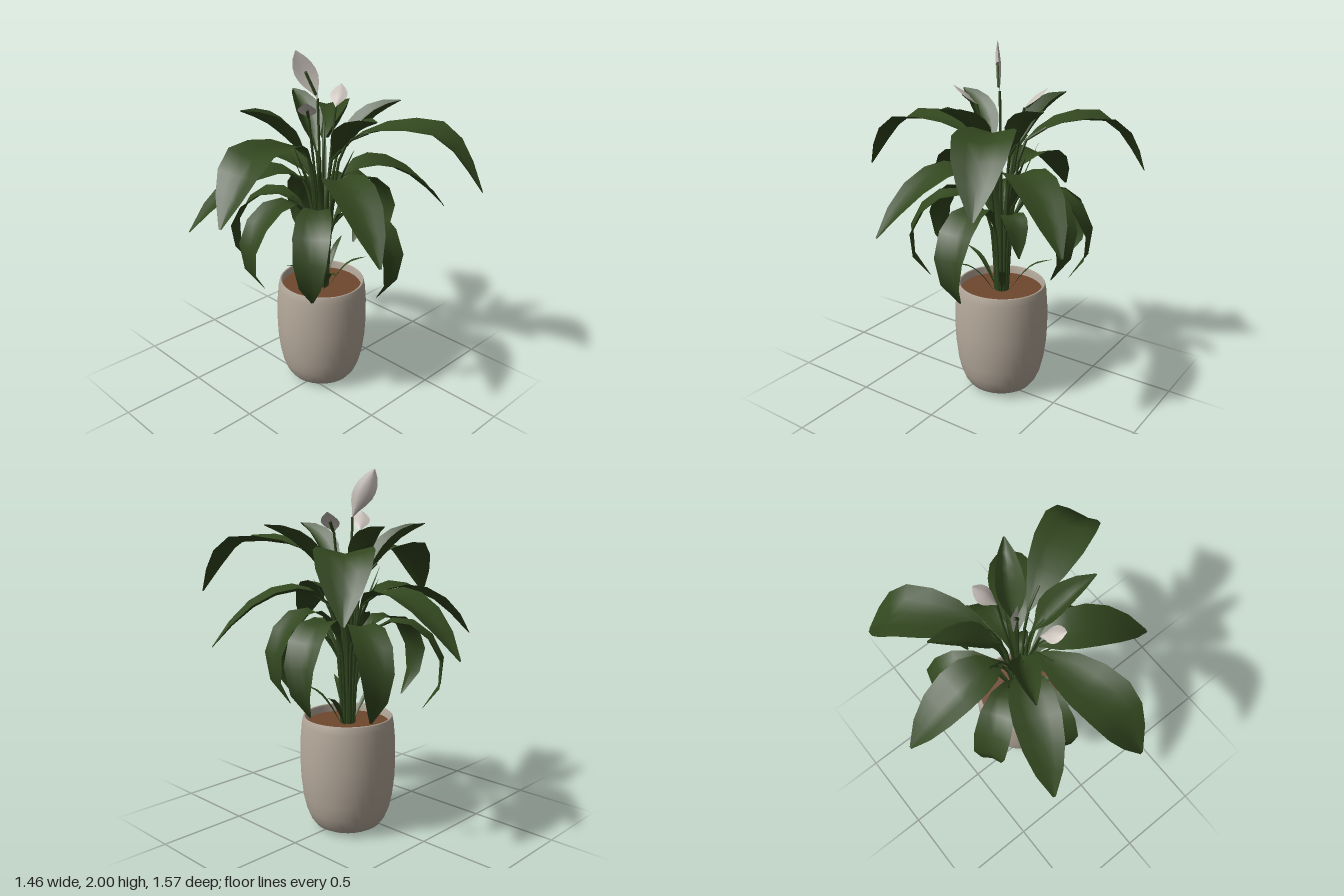
import * as THREE from 'three';

const mat = (name, color, side = THREE.FrontSide) => {
  const m = new THREE.MeshStandardMaterial({ color, side });
  m.name = name;
  return m;
};

const CX = 0.115, CZ = -0.03; // pot axis
const WIDTHS = [0.05, 0.34, 0.72, 0.95, 1, 0.88, 0.58, 0.06];

// Blade swept along a curve: five points per section, edges lifted by fold
function bladeGeometry(curve, side, halfWidth, fold) {
  const pos = [], idx = [], n = WIDTHS.length - 1;
  for (let i = 0; i <= n; i++) {
    const p = curve.getPoint(i / n), t = curve.getTangent(i / n);
    const up = new THREE.Vector3().crossVectors(side, t).normalize();
    const w = WIDTHS[i] * halfWidth;
    for (const s of [-1, -0.5, 0, 0.5, 1]) {
      const q = p.clone().addScaledVector(side, s * w).addScaledVector(up, Math.abs(s) * w * fold);
      pos.push(q.x, q.y, q.z);
    }
    if (i < n) for (let j = 0; j < 4; j++) {
      const a = i * 5 + j, b = a + 5;
      idx.push(a, b, a + 1, a + 1, b, b + 1);
    }
  }
  const g = new THREE.BufferGeometry();
  g.setAttribute('position', new THREE.Float32BufferAttribute(pos, 3));
  g.setIndex(idx);
  g.computeVertexNormals();
  return g;
}

export function createModel() {
  const model = new THREE.Group();
  model.name = 'pottedPlant';
  const leafMat = mat('leaf green', 0x32471f, THREE.DoubleSide);
  const stemMat = mat('stem green', 0x2f451e);
  const potMat = mat('pot stoneware', 0xb5a99b);
  const soilMat = mat('soil brown', 0x70482f);
  const flowerMat = mat('flower white', 0xc8c0b9, THREE.DoubleSide);

  const add = (name, geometry, material) => {
    const m = new THREE.Mesh(geometry, material);
    m.name = name;
    model.add(m);
    return m;
  };

  // Pot with rounded base, lip and inner wall
  const profile = [[0, 0], [0.12, 0.002], [0.16, 0.009], [0.19, 0.026], [0.215, 0.06], [0.237, 0.115], [0.254, 0.19],
    [0.267, 0.3], [0.271, 0.4], [0.268, 0.52], [0.26, 0.61], [0.252, 0.65], [0.247, 0.656], [0.238, 0.65], [0.236, 0.58]];
  add('pot', new THREE.LatheGeometry(profile.map(p => new THREE.Vector2(...p)), 40), potMat)
    .position.set(CX, 0, CZ);
  add('soil', new THREE.CylinderGeometry(0.237, 0.237, 0.02, 40), soilMat).position.set(CX, 0.6, CZ);

  // Point at radius r, height y, in the direction a (degrees from +x towards +z)
  const polar = (a, r, y) => {
    const t = THREE.MathUtils.degToRad(a);
    return new THREE.Vector3(CX + r * Math.cos(t), y, CZ + r * Math.sin(t));
  };

  const stem = (name, points, radius) =>
    add(name, new THREE.TubeGeometry(new THREE.CatmullRomCurve3(points), 8, radius, 6), stemMat);

  // Leaf: blade along [r, y] points, plus a stem down to the soil
  function leaf(name, a, points, halfWidth, { reach = 1, lift = 0, fold = 0.25, stalk = true } = {}) {
    const pts = points.map(([r, y]) => polar(a, r * reach, y + lift));
    const t = THREE.MathUtils.degToRad(a);
    const side = new THREE.Vector3(Math.sin(t), 0, -Math.cos(t)).negate();
    add(name, bladeGeometry(new THREE.CatmullRomCurve3(pts), side, halfWidth, -fold * Math.sign(side.clone().cross(pts[0].clone().setY(0).sub(polar(a, 0, 0))).y) * -1), leafMat);
    if (!stalk) return;
    const b = pts[0], r0 = points[0][0];
    stem(name + 'Stem', [polar(a, 0.035, 0.59), polar(a, 0.03 + r0 * 0.2, (0.6 + b.y) / 2), b, pts[1]], 0.008);
  }

  // Long upper leaves
  const upper = [[0.13, 1.46], [0.25, 1.53], [0.44, 1.565], [0.62, 1.55], [0.73, 1.44], [0.85, 1.27]];
  for (const [a, reach, lift] of [[317, 0.95, 0.02], [65, 1.05, 0.05], [170, 1, 0]])
    leaf('upperLeaf', a, upper, 0.145, { reach, lift });

  // Middle leaves
  const middle = [[0.1, 1.28], [0.19, 1.34], [0.34, 1.355], [0.55, 1.26], [0.75, 1.07]];
  for (const [a, reach] of [[269, 1], [34, 0.98], [113, 1.02], [204, 1.03]])
    leaf('middleLeaf', a, middle, 0.128, { reach });

  // Drooping lower leaves, tips tucked in
  const lower = [[0.08, 1.05], [0.18, 1.17], [0.32, 1.18], [0.45, 1.08], [0.51, 0.9], [0.41, 0.71]];
  for (const [a, reach, lift] of [[88, 1.02, -0.03], [142, 1, 0], [188, 0.98, 0], [236, 1.02, 0],
    [299, 1, 0.01], [345, 0.96, 0.03], [11, 0.9, 0.07]])
    leaf('lowerLeaf', a, lower, 0.1, { reach, lift, fold: 0.22 });
  leaf('smallLeaf', 35, [[0.05, 0.98], [0.12, 1.1], [0.2, 1.06], [0.25, 0.89]], 0.07, { fold: 0.2 });

  // Short cupped leaves near the top
  const inner = [[0.09, 1.43], [0.17, 1.5], [0.24, 1.57], [0.33, 1.645], [0.46, 1.71]];
  for (const [a, reach] of [[31, 0.97], [99, 1], [206, 1], [291, 0.95]])
    leaf('innerLeaf', a, inner, 0.075, { reach, fold: 0.9 });

  // Slim young shoots and low sprouts
  for (let i = 0; i < 6; i++)
    leaf('youngShoot', 20 + i * 60, [[0.03, 0.6], [0.05, 0.95], [0.09, 1.2], [0.2, 1.43 + 0.05 * (i % 2)]], 0.018, { stalk: false });
  for (const [a, reach] of [[55, 1], [120, 1.15], [185, 1], [340, 1.1]])
    leaf('lowSprout', a, [[0.04, 0.6], [0.1, 0.7], [0.17, 0.78], [0.26, 0.82]], 0.018, { reach, stalk: false });

  // Flowers: white hood, green spike and stem
  const flowers = [
    { base: [0.085, 1.75, -0.04], tip: [0.01, 2, -0.13], side: [0.64, 0.28, 0.72], w: 0.06 },
    { base: [-0.03, 1.675, 0.01], tip: [-0.125, 1.78, 0.09], side: [0.66, 0, 0.75], w: 0.05 },
    { base: [0.235, 1.675, -0.05], tip: [0.34, 1.78, -0.11], side: [-0.48, 0, -0.88], w: 0.05 },
  ];
  for (const f of flowers) {
    const base = new THREE.Vector3(...f.base), tip = new THREE.Vector3(...f.tip);
    const side = new THREE.Vector3(...f.side).normalize();
    const axis = tip.clone().sub(base);
    const up = new THREE.Vector3().crossVectors(side, axis).normalize();
    const mid = base.clone().lerp(tip, 0.5).addScaledVector(up, -0.012);
    add('flowerHood', bladeGeometry(new THREE.CatmullRomCurve3([base, mid, tip]), side, f.w, 0.35), flowerMat);
    const spike = add('flowerSpike', new THREE.CapsuleGeometry(0.008, axis.length() * 0.45, 3, 8), stemMat);
    spike.quaternion.setFromUnitVectors(new THREE.Vector3(0, 1, 0), axis.clone().normalize());
    spike.position.copy(base).lerp(tip, 0.32).addScaledVector(up, 0.006);
    const root = new THREE.Vector3(CX + (base.x - CX) * 0.15, 0.59, CZ + (base.z - CZ) * 0.15);
    const bend = root.clone().lerp(base, 0.5);
    bend.x += (CX - bend.x) * 0.4;
    bend.z += (CZ - bend.z) * 0.4;
    stem('flowerStem', [root, bend, base], 0.007);
  }
  return model;
}
